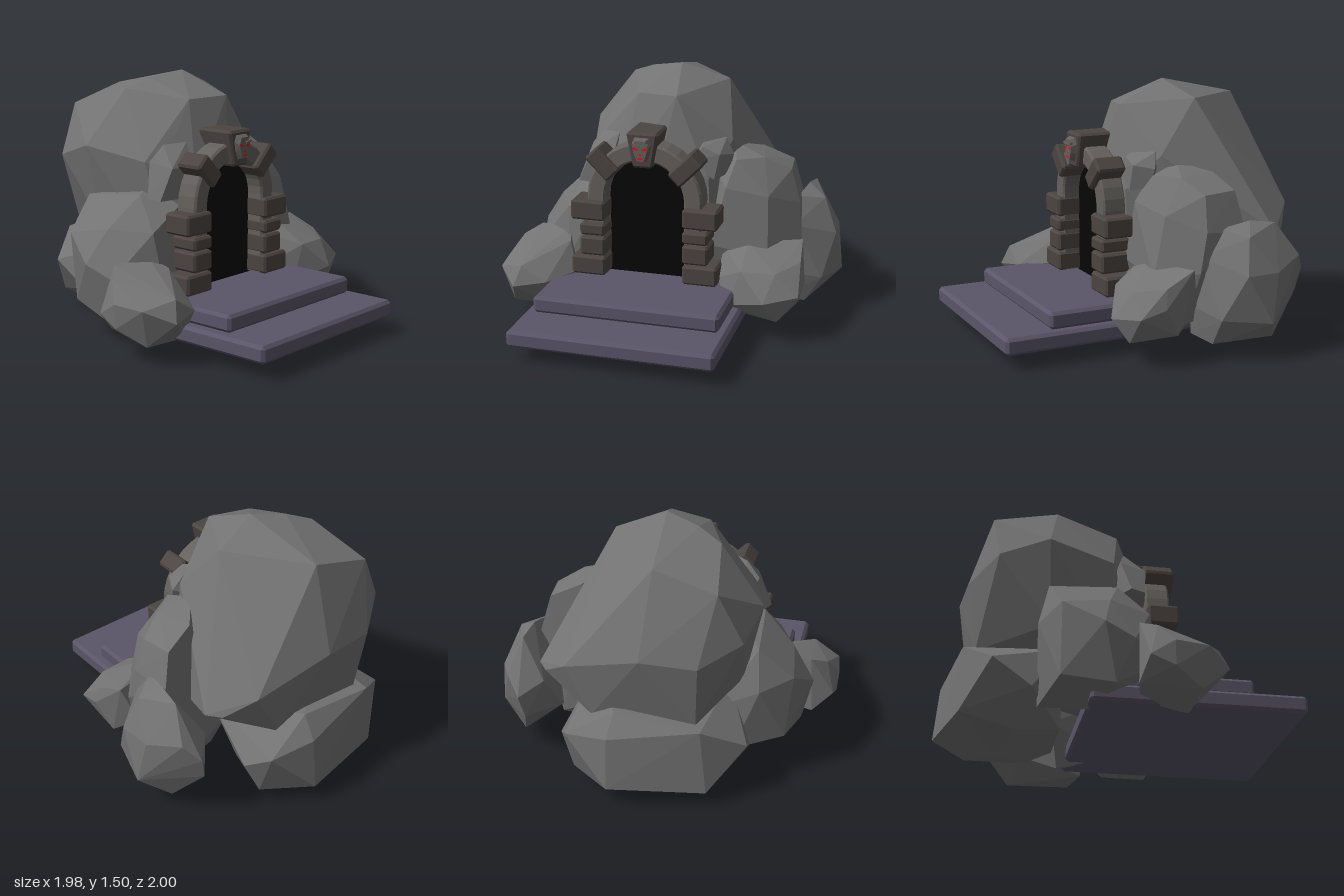
import * as THREE from 'three';
import { ConvexGeometry } from 'three/addons/geometries/ConvexGeometry.js';

const paint = (color, extra = {}) => new THREE.MeshStandardMaterial({ color, flatShading: true, ...extra });
const CX = -0.092; // axis of the doorway

export function createModel() {
  const model = new THREE.Group();
  const rockMat = paint(0x737373);
  const stoneMat = paint(0x4c4541);
  const archMat = paint(0x64605c);
  const slabMat = paint(0x5a5568);
  const blackMat = paint(0x060606, { side: THREE.DoubleSide });
  const redMat = paint(0xe01020, { side: THREE.DoubleSide });

  const add = (name, geo, mat, parent = model) => {
    const mesh = new THREE.Mesh(geo, mat);
    mesh.name = name;
    parent.add(mesh);
    return mesh;
  };

  // faceted boulder: hull of a few corner points
  const rock = (name, pts) => add(name, new ConvexGeometry(pts.map(p => new THREE.Vector3(...p))), rockMat);

  // chamfered block; taper scales the width at the bottom
  const block = (name, w, h, d, b, mat, taper = 1) => {
    const pts = [];
    for (const sx of [-1, 1]) for (const sy of [-1, 1]) for (const sz of [-1, 1])
      for (const [i, j, k] of [[0, 1, 1], [1, 0, 1], [1, 1, 0]]) {
        const s = sy < 0 ? taper : 1;
        pts.push(new THREE.Vector3(sx * (w / 2 - i * b) * s, sy * (h / 2 - j * b), sz * (d / 2 - k * b)));
      }
    return add(name, new ConvexGeometry(pts), mat);
  };

  // boulders
  rock('mainBoulder', [
    [0, 1.505, -0.21], [0.28, 1.41, -0.28], [-0.34, 1.41, -0.35], [-0.2, 1.465, -0.28], [-0.2, 1.36, 0.03],
    [0.05, 1.37, 0.1], [-0.4, 1.3, -0.73], [-0.04, 1.4, -0.71], [-0.6, 1.09, -0.42], [-0.54, 1.0, -0.7],
    [-0.5, 1.02, -0.04], [-0.32, 1.16, 0.03], [0, 1.12, 0.15], [0.36, 1.1, -0.02], [0.66, 0.66, -0.61],
    [0.6, 0.66, -0.69], [0.45, 0.78, -0.81], [0, 0.92, -0.89], [-0.32, 0.9, -0.86], [-0.5, 0.6, -0.4],
    [-0.3, 0.5, -0.8], [0.3, 0.48, -0.8], [0.5, 0.5, -0.2], [0.26, 0.9, 0.16], [-0.28, 0.9, 0.16],
    [0.28, 0.3, 0.14], [-0.4, 0.3, 0.14]]);
  rock('backBaseRock', [
    [-0.58, 0.35, -0.72], [-0.56, 0.2, -0.5], [-0.34, 0.5, -0.87], [0.15, 0.56, -0.87], [0.17, 0.44, -0.97],
    [0.17, 0.12, -1.0], [0.43, 0.4, -0.91], [0.5, 0.3, -0.76], [0.42, 0.1, -0.8], [-0.38, 0.1, -0.88],
    [0.02, 0, -0.65], [-0.33, 0.03, -0.55], [0.3, 0.06, -0.45], [-0.2, 0.1, -0.3], [0.2, 0.1, -0.3],
    [-0.4, 0.5, -0.3], [0.4, 0.5, -0.3]]);
  rock('leftShoulderRock', [
    [0.36, 1.06, -0.12], [0.5, 1.01, -0.28], [0.4, 1.0, 0.05], [0.55, 1.0, -0.05], [0.68, 0.93, -0.32],
    [0.7, 0.92, -0.12], [0.76, 0.72, -0.1], [0.74, 0.7, -0.36], [0.27, 0.95, 0.02], [0.36, 0.85, 0.15],
    [0.6, 0.8, 0.08], [0.28, 0.5, 0.17], [0.62, 0.45, 0.16], [0.78, 0.5, -0.05], [0.6, 0.2, -0.42],
    [0.2, 0.3, -0.3], [0.33, 0.05, -0.25], [0.3, 0.12, 0.05], [0.7, 0.2, 0]]);
  rock('leftOuterRock', [
    [0.77, 0.77, -0.37], [0.79, 0.75, -0.52], [0.88, 0.7, -0.3], [0.73, 0.73, -0.2], [0.77, 0.46, -0.72],
    [0.85, 0.56, -0.65], [0.95, 0.5, -0.45], [0.985, 0.22, -0.4], [0.96, 0.5, -0.25], [0.9, 0.25, -0.12],
    [0.73, 0.58, -0.08], [0.68, 0.3, -0.04], [0.8, 0.09, -0.12], [0.82, 0.09, -0.5], [0.65, 0.12, -0.06],
    [0.65, 0.52, -0.6], [0.6, 0.25, -0.42], [0.74, 0.32, -0.7], [0.6, 0.45, -0.15]]);
  rock('leftFrontRock', [
    [0.35, 0.49, 0.12], [0.5, 0.53, 0.14], [0.8, 0.53, 0.0], [0.82, 0.45, 0.18], [0.85, 0.34, 0.2],
    [0.84, 0.3, 0.35], [0.65, 0.27, 0.435], [0.5, 0.42, 0.34], [0.7, 0.42, 0.33], [0.34, 0.33, 0.24],
    [0.42, 0.2, 0.33], [0.72, 0.14, 0.36], [0.45, 0.11, 0.2], [0.57, 0.09, 0.18], [0.8, 0.17, 0.1],
    [0.72, 0.3, -0.06], [0.38, 0.12, 0.08]]);
  rock('rightShoulderRock', [
    [-0.42, 0.86, -0.1], [-0.55, 0.84, -0.03], [-0.58, 0.8, -0.42], [-0.6, 0.55, -0.48], [-0.78, 0.61, -0.37],
    [-0.87, 0.47, -0.15], [-0.74, 0.66, -0.1], [-0.83, 0.4, 0.02], [-0.62, 0.65, 0.14], [-0.4, 0.78, 0.14],
    [-0.6, 0.35, 0.2], [-0.4, 0.25, 0.18], [-0.8, 0.15, -0.08], [-0.74, 0.2, -0.37], [-0.45, 0.12, -0.46],
    [-0.55, 0.09, -0.15], [-0.35, 0.4, -0.45]]);
  rock('rightFrontRock', [
    [-0.92, 0.44, 0.12], [-0.83, 0.49, 0.04], [-0.62, 0.51, 0.1], [-0.58, 0.46, 0.22], [-0.99, 0.33, 0.2],
    [-0.965, 0.32, 0.39], [-0.8, 0.37, 0.48], [-0.84, 0.25, 0.525], [-0.65, 0.28, 0.48], [-0.52, 0.3, 0.3],
    [-0.98, 0.19, 0.2], [-0.97, 0.25, 0.07], [-0.9, 0.1, 0.36], [-0.75, 0.05, 0.25], [-0.6, 0.08, 0.35],
    [-0.53, 0.14, 0.1], [-0.85, 0.13, 0.03]]);
  rock('rightArchRock', [
    [-0.42, 1.12, 0.03], [-0.5, 1.03, 0.0], [-0.3, 1.13, 0.1], [-0.47, 1.0, 0.15], [-0.57, 0.83, 0.05],
    [-0.55, 0.82, 0.13], [-0.36, 0.82, 0.16], [-0.32, 1.0, 0.17], [-0.4, 0.8, -0.1]]);
  rock('leftArchRock', [
    [0.2, 1.13, 0.04], [0.33, 1.12, 0.0], [0.38, 1.03, 0.03], [0.36, 0.92, 0.06], [0.22, 1.09, 0.14],
    [0.32, 1.05, 0.14], [0.29, 0.9, 0.15], [0.14, 1.0, 0.16], [0.2, 0.9, 0.12], [0.25, 1.0, -0.08]]);

  // two platform slabs
  block('lowerStep', 1.2, 0.1, 1.2, 0.018, slabMat).position.set(CX, 0.14, 0.4);
  block('upperStep', 1.1, 0.1, 0.82, 0.018, slabMat).position.set(CX + 0.005, 0.24, 0.31);

  // dark opening
  const opening = new THREE.Shape();
  opening.moveTo(-0.27, 0.28).lineTo(0.27, 0.28).lineTo(0.27, 0.77).absarc(0, 0.77, 0.27, 0, Math.PI).closePath();
  add('doorway', new THREE.ShapeGeometry(opening, 10), blackMat).position.set(CX, 0, 0.19);

  // stone arch ring with straight legs
  const ring = new THREE.Shape();
  ring.moveTo(0.24, 0.3).lineTo(0.345, 0.3).lineTo(0.345, 0.78).absarc(0, 0.78, 0.35, 0, Math.PI)
    .lineTo(-0.345, 0.3).lineTo(-0.24, 0.3).lineTo(-0.24, 0.78).absarc(0, 0.78, 0.24, Math.PI, 0, true);
  add('archRing', new THREE.ExtrudeGeometry(ring, {
    depth: 0.12, curveSegments: 8, bevelSize: 0.012, bevelThickness: 0.012, bevelOffset: -0.012, bevelSegments: 1,
  }), archMat).position.set(CX, 0, 0.165);

  // pillar blocks and slanted arch blocks, mirrored about the doorway
  const courses = [[0.355, 0.115, 0.21], [0.48, 0.115, 0.155], [0.585, 0.075, 0.155], [0.7, 0.12, 0.21]];
  for (const s of [-1, 1]) {
    for (const [y, h, w] of courses)
      block('pillarBlock', w, h, 0.18, 0.013, stoneMat).position.set(CX + s * (0.236 + w / 2), y, 0.24);
    const slanted = block('archBlock', 0.105, 0.19, 0.18, 0.013, stoneMat);
    slanted.position.set(CX + s * 0.25, 0.99, 0.24);
    slanted.rotation.z = -s * Math.PI / 4;
  }
  block('keystone', 0.19, 0.21, 0.25, 0.014, stoneMat, 0.62).position.set(CX, 1.095, 0.21);

  // carved mask on the keystone
  const mask = new THREE.Group();
  mask.name = 'mask';
  mask.position.set(CX, 1.1, 0.33);
  model.add(mask);
  const half = [[0.045, 0.075, 0], [0.062, 0.035, 0], [0.052, -0.02, 0], [0.03, -0.07, 0],
    [0.03, 0.06, 0.035], [0.045, 0.02, 0.035], [0.035, -0.02, 0.035], [0.02, -0.06, 0.035]];
  const face = half.flatMap(([x, y, z]) => [new THREE.Vector3(x, y, z), new THREE.Vector3(-x, y, z)]);
  add('maskFace', new ConvexGeometry(face), archMat, mask);
  const patch = (name, pts) => add(name, new THREE.ShapeGeometry(
    new THREE.Shape(pts.map(p => new THREE.Vector2(...p)))), redMat, mask).position.z = 0.037;
  for (const s of [-1, 1]) {
    patch('eye', [[s * 0.01, 0.006], [s * 0.038, 0.004], [s * 0.044, 0.026], [s * 0.012, 0.014]]);
    const brow = add('brow', new THREE.BoxGeometry(0.045, 0.012, 0.02), archMat, mask);
    brow.position.set(s * 0.026, 0.034, 0.034);
    brow.rotation.z = s * 0.3;
  }
  patch('nose', [[-0.009, -0.026], [0.009, -0.026], [0, -0.008]]);
  patch('mouth', [[-0.02, -0.05], [0.02, -0.05], [0.012, -0.036], [-0.012, -0.036]]);
  return model;
}
